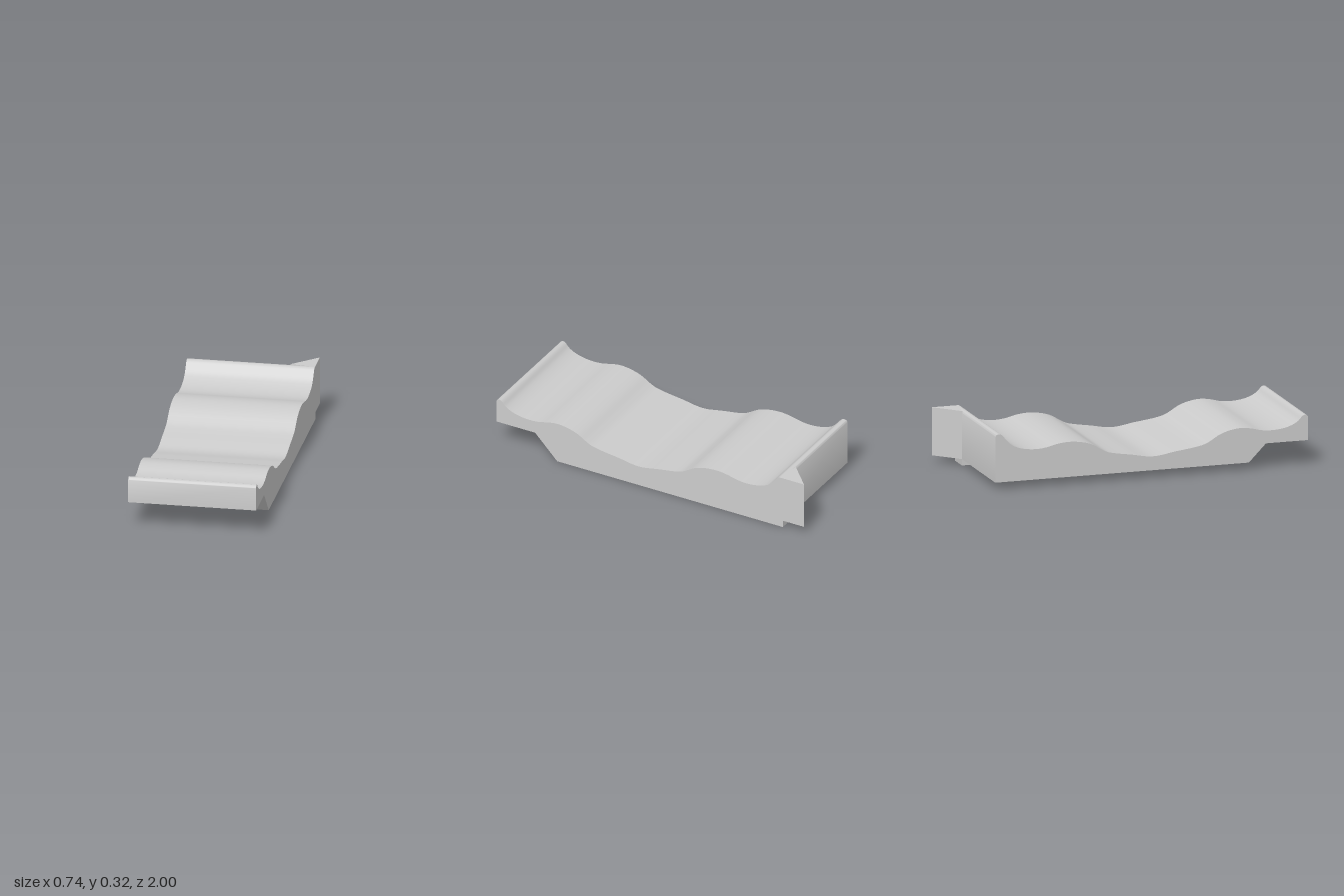
import * as THREE from 'three';
import { toCreasedNormals } from 'three/addons/utils/BufferGeometryUtils.js';

const HALF = 0.368;

// Extrude a [z, y] side profile across x from x0 to x1
function extrudeSide(points, x0, x1) {
  const shape = new THREE.Shape(points.map(([z, y]) => new THREE.Vector2(-z, y)));
  const geo = new THREE.ExtrudeGeometry(shape, { depth: x1 - x0, bevelEnabled: false });
  geo.rotateY(Math.PI / 2).translate(x0, 0, 0);
  return toCreasedNormals(geo, 0.6);
}

export function createModel() {
  const group = new THREE.Group();
  const grey = new THREE.MeshStandardMaterial({ color: 0xcccccc });
  grey.name = 'lightGrey';
  const add = (name, geo) => {
    const mesh = new THREE.Mesh(geo, grey);
    mesh.name = name;
    group.add(mesh);
  };

  // Wavy upper surface, from the front lip to the back lip
  const wave = [
    [1, 0.28], [0.995, 0.29], [0.982, 0.296], [0.965, 0.288], [0.94, 0.262],
    [0.9, 0.24], [0.85, 0.226], [0.78, 0.22], [0.72, 0.225], [0.66, 0.24],
    [0.6, 0.247], [0.53, 0.238], [0.47, 0.218], [0.42, 0.188], [0.38, 0.169],
    [0.32, 0.156], [0.2, 0.14], [0.11, 0.125], [0.05, 0.124], [-0.05, 0.142],
    [-0.15, 0.158], [-0.2, 0.17], [-0.24, 0.191], [-0.28, 0.215], [-0.32, 0.231],
    [-0.38, 0.243], [-0.44, 0.246], [-0.5, 0.239], [-0.56, 0.225], [-0.62, 0.219],
    [-0.69, 0.225], [-0.75, 0.243], [-0.78, 0.262], [-0.81, 0.295], [-0.832, 0.318],
    [-0.847, 0.322], [-0.862, 0.317], [-0.868, 0.305],
  ];
  const curve = new THREE.CatmullRomCurve3(wave.map(([z, y]) => new THREE.Vector3(0, y, z)));
  const top = curve.getPoints(148).map((p) => [p.z, p.y]);

  // Main slab: wave on top, overhanging front and ramp underneath
  add('body', extrudeSide(
    [...top, [-0.868, 0.042], [0.646, 0.042], [0.748, 0.146], [1, 0.146]], -HALF, HALF));

  // Raised rail under the left edge
  add('bottomRail', extrudeSide(
    [[0.646, 0.042], [-0.862, 0.042], [-0.862, 0], [0.605, 0]], 0.245, HALF));

  // Triangular wedge on the back left corner
  const plan = new THREE.Shape([
    new THREE.Vector2(0.225, 0.866), new THREE.Vector2(HALF, 0.845),
    new THREE.Vector2(HALF, 1),
  ]);
  const wedge = new THREE.ExtrudeGeometry(plan, { depth: 0.28, bevelEnabled: false });
  wedge.rotateX(-Math.PI / 2).translate(0, 0.042, 0);
  add('cornerWedge', wedge);

  return group;
}
